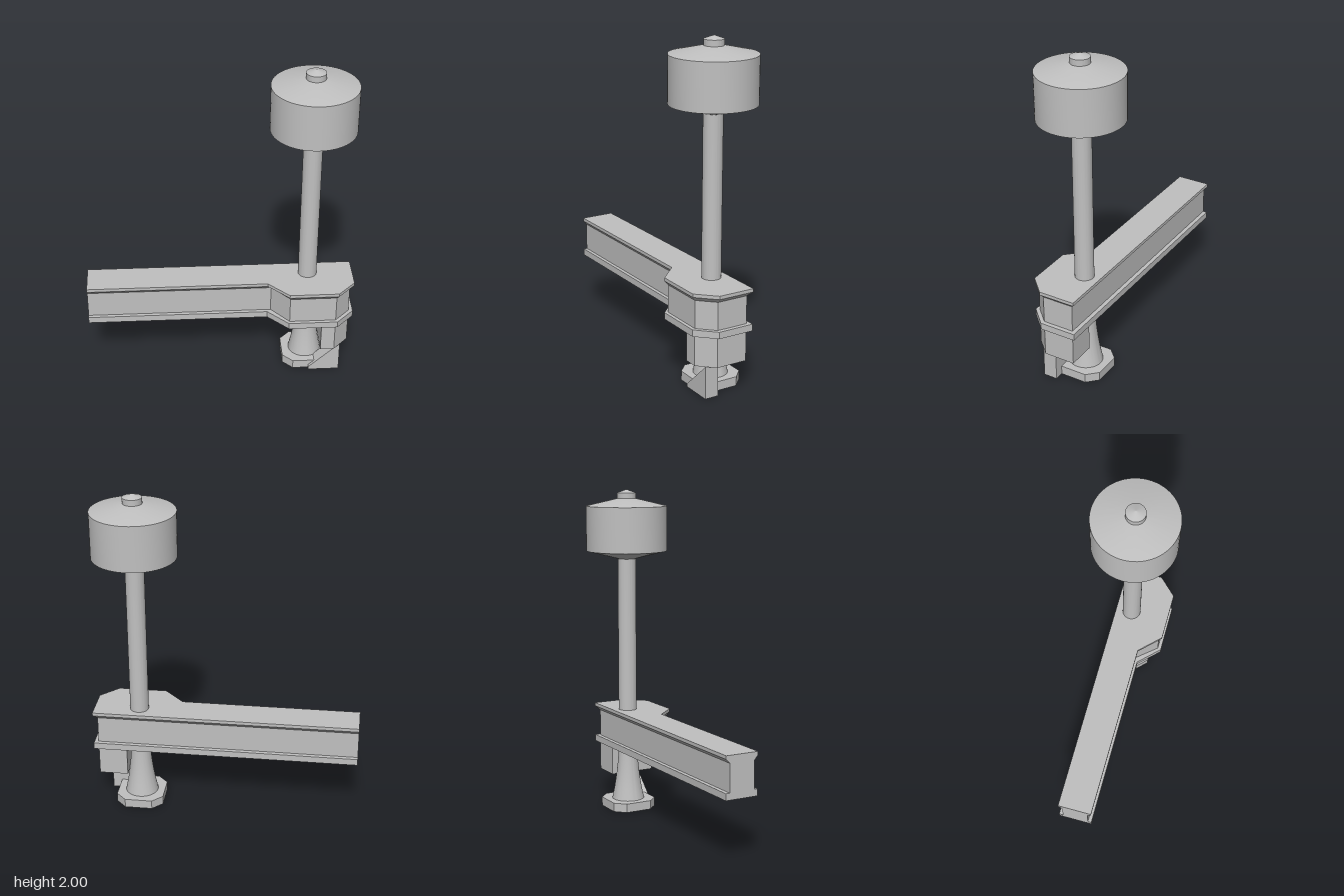
import * as THREE from 'three';
import { toCreasedNormals } from 'three/addons/utils/BufferGeometryUtils.js';

const POLE_X = 0.528;

// Stacks same-length [x, z] outlines at given heights, with flat faces and caps
function prism(layers) {
  const pos = [];
  const put = (layer, i) => {
    const [x, z] = layer.outline[i % layer.outline.length];
    pos.push(x, layer.y, z);
  };
  const n = layers[0].outline.length;
  for (let k = 0; k < layers.length - 1; k++) {
    const lo = layers[k], hi = layers[k + 1];
    for (let i = 0; i < n; i++) {
      put(lo, i); put(hi, i); put(lo, i + 1);
      put(lo, i + 1); put(hi, i); put(hi, i + 1);
    }
  }
  const cap = (layer, flip) => {
    const pts = layer.outline.map(([x, z]) => new THREE.Vector2(x, z));
    for (const [a, b, c] of THREE.ShapeUtils.triangulateShape(pts, [])) {
      (flip ? [a, c, b] : [a, b, c]).forEach((i) => put(layer, i));
    }
  };
  cap(layers[0], false);
  cap(layers[layers.length - 1], true);
  const geo = new THREE.BufferGeometry();
  geo.setAttribute('position', new THREE.Float32BufferAttribute(pos, 3));
  geo.computeVertexNormals();
  return geo;
}

// Turned part around the pole axis, with sharp edges kept
function turned(profile, sides = 64) {
  const pts = profile.map(([r, y]) => new THREE.Vector2(r, y));
  const geo = toCreasedNormals(new THREE.LatheGeometry(pts, sides), 0.24);
  return geo.translate(POLE_X, 0, 0);
}

export function createModel() {
  const model = new THREE.Group();
  const grey = new THREE.MeshStandardMaterial({ color: 0xc0c0c0 });
  grey.name = 'grey';
  const add = (name, geo) => {
    const mesh = new THREE.Mesh(geo, grey);
    mesh.name = name;
    model.add(mesh);
  };

  // Long beam with a wider bay at one end, a sill and a flared cornice
  const outer = [[-0.803, -0.097], [0.8, -0.097], [0.8, 0.125], [0.695, 0.231],
    [0.402, 0.231], [0.28, 0.107], [-0.803, 0.107]];
  const inner = [[-0.803, -0.072], [0.775, -0.072], [0.775, 0.118], [0.685, 0.21],
    [0.407, 0.21], [0.302, 0.085], [-0.803, 0.085]];
  add('beam', prism([
    { outline: outer, y: 0.38 }, { outline: outer, y: 0.42 },
    { outline: inner, y: 0.42 }, { outline: inner, y: 0.585 },
    { outline: outer, y: 0.61 }, { outline: outer, y: 0.63 },
  ]));

  // Block hanging under the bay
  const block = [[0.602, -0.072], [0.775, -0.072], [0.775, 0.118], [0.685, 0.21], [0.602, 0.21]];
  add('lowerBlock', prism([{ outline: block, y: 0.197 }, { outline: block, y: 0.38 }]));

  // Eight-sided foot
  const h = 0.144, c = 0.083;
  const foot = [[-c, -h], [c, -h], [h, -c], [h, c], [c, h], [-c, h], [-h, c], [-h, -c]]
    .map(([x, z]) => [x + POLE_X, z]);
  add('foot', prism([{ outline: foot, y: 0 }, { outline: foot, y: 0.055 }]));

  // Sloped fin beside the foot
  const fin = new THREE.Shape([[0.54, 0], [0.728, 0], [0.728, 0.197], [0.54, 0.02]]
    .map(([x, y]) => new THREE.Vector2(x, y)));
  add('fin', new THREE.ExtrudeGeometry(fin, { depth: 0.084, bevelEnabled: false })
    .translate(0, 0, 0.08));

  // Pole with flared lower end
  add('pole', turned([[0.1, 0.055], [0.085, 0.13], [0.074, 0.2], [0.066, 0.27],
    [0.06, 0.34], [0.056, 0.42], [0.056, 1.58]]));

  // Drum with conical ends
  add('drum', turned([[0, 1.577], [0.056, 1.577], [0.249, 1.626], [0.249, 1.9], [0.057, 1.945], [0, 1.945]]));

  // Small cap on the drum
  add('cap', turned([[0.057, 1.94], [0.057, 1.98], [0, 2]]));

  return model;
}
